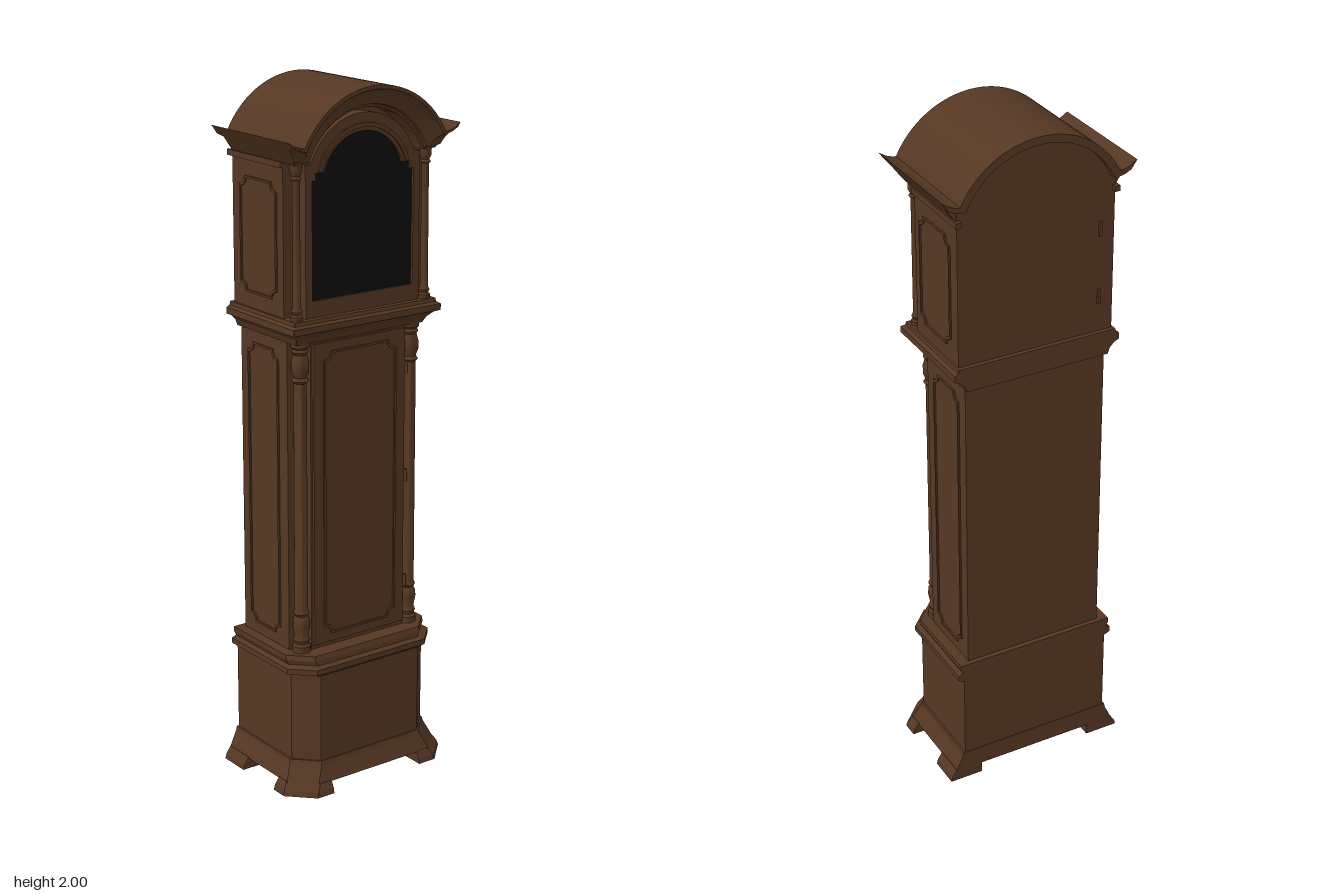
import * as THREE from 'three';
import { toCreasedNormals } from 'three/addons/utils/BufferGeometryUtils.js';

const V2 = (x, y) => new THREE.Vector2(x, y);

export function createModel() {
  const root = new THREE.Group();
  const wood = new THREE.MeshStandardMaterial({ color: 0x553723, side: THREE.DoubleSide });
  wood.name = 'walnut wood';
  const glass = new THREE.MeshStandardMaterial({ color: 0x0d0d0d });
  glass.name = 'black glass';

  const add = (name, geo, x = 0, y = 0, z = 0, mat = wood) => {
    const m = new THREE.Mesh(geo, mat);
    m.name = name;
    m.position.set(x, y, z);
    root.add(m);
    return m;
  };
  // box given by its limits
  const block = (name, x0, x1, y0, y1, z0, z1) =>
    add(name, new THREE.BoxGeometry(x1 - x0, y1 - y0, z1 - z0), (x0 + x1) / 2, (y0 + y1) / 2, (z0 + z1) / 2);
  const extrude = (shape, depth) => new THREE.ExtrudeGeometry(shape, { depth, bevelEnabled: false, curveSegments: 24 });
  const fromTriangles = (pos) => {
    const g = new THREE.BufferGeometry();
    g.setAttribute('position', new THREE.Float32BufferAttribute(pos, 3));
    g.computeVertexNormals();
    return g;
  };

  // stacked rings of [x, z] points at rising heights, capped at both ends
  const stack = (rings) => {
    const pos = [];
    const tri = (...pts) => pts.forEach((p) => pos.push(...p));
    const r = rings.map(({ y, pts }) => pts.map(([x, z]) => [x, y, z]));
    const n = r[0].length;
    for (let k = 0; k < r.length - 1; k++) {
      for (let i = 0; i < n; i++) {
        const j = (i + 1) % n;
        tri(r[k][i], r[k + 1][i], r[k][j]);
        tri(r[k][j], r[k + 1][i], r[k + 1][j]);
      }
    }
    const top = r[r.length - 1];
    for (let i = 1; i < n - 1; i++) {
      tri(r[0][0], r[0][i], r[0][i + 1]);
      tri(top[0], top[i + 1], top[i]);
    }
    return fromTriangles(pos);
  };
  // case plan with cut front corners; levels are [y, halfWidth, front]
  const caseStack = (levels, back, c) => stack(levels.map(([y, w, f]) => ({
    y, pts: [[w, back], [w, f - c], [w - c, f], [c - w, f], [-w, f - c], [-w, back]],
  })));

  // thin moulding frame with notched round corners
  const notched = (w, h, n, Type) => {
    const s = new Type(), a = w / 2, b = h / 2;
    s.moveTo(-a + n, -b);
    s.lineTo(a - n, -b);
    s.absarc(a, -b, n, Math.PI, Math.PI / 2, true);
    s.lineTo(a, b - n);
    s.absarc(a, b, n, Math.PI * 1.5, Math.PI, true);
    s.lineTo(-a + n, b);
    s.absarc(-a, b, n, 0, -Math.PI / 2, true);
    s.lineTo(-a, -b + n);
    s.absarc(-a, -b, n, Math.PI / 2, 0, true);
    return s;
  };
  const panelFrame = (w, h) => {
    const s = notched(w, h, 0.024, THREE.Shape);
    s.holes.push(notched(w - 0.012, h - 0.012, 0.024, THREE.Path));
    return extrude(s, 0.005);
  };
  const turned = (pts) => toCreasedNormals(
    new THREE.LatheGeometry(pts.map(([r, y]) => V2(r, y)), 20), 0.7);

  // base with cut corners, flared skirt and mouldings
  add('base', caseStack([[0.09, 0.234, 0.152], [0.36, 0.234, 0.152]], -0.178, 0.06));
  add('skirt', caseStack([[0.033, 0.264, 0.177], [0.05, 0.257, 0.17], [0.08, 0.243, 0.16],
    [0.093, 0.24, 0.157]], -0.18, 0.065));
  add('baseMoulding', caseStack([[0.355, 0.236, 0.153], [0.362, 0.252, 0.16], [0.378, 0.252, 0.16],
    [0.384, 0.238, 0.146], [0.398, 0.245, 0.145], [0.412, 0.245, 0.14]], -0.18, 0.06));

  // bracket feet
  for (const s of [1, -1]) {
    const mirror = (pts) => (s > 0 ? pts : pts.map(([x, z]) => [-x, z]).reverse());
    const front = (w, f) => mirror([[w, 0.07], [w, f - 0.07], [w - 0.07, f], [0.155, f], [0.155, 0.07]]);
    const rear = (w) => mirror([[w, -0.18], [w, -0.085], [0.18, -0.085], [0.18, -0.18]]);
    add('frontFoot', stack([{ y: 0, pts: front(0.282, 0.19) }, { y: 0.015, pts: front(0.278, 0.187) },
      { y: 0.036, pts: front(0.264, 0.177) }]));
    add('rearFoot', stack([{ y: 0, pts: rear(0.282) }, { y: 0.015, pts: rear(0.278) },
      { y: 0.036, pts: rear(0.264) }]));
  }

  // waist with door, panels and corner columns
  block('waist', -0.214, 0.214, 0.4, 1.325, -0.165, 0.055);
  block('waistFront', -0.163, 0.163, 0.4, 1.325, 0.05, 0.092);
  block('waistDoor', -0.157, 0.157, 0.425, 1.305, 0.09, 0.1);
  add('doorPanelFrame', panelFrame(0.25, 0.83), 0, 0.865, 0.099);
  const waistColumn = [[0, 0.41], [0.026, 0.41], [0.026, 0.43], [0.02, 0.437], [0.024, 0.448], [0.019, 0.46],
    [0.025, 0.49], [0.023, 0.51], [0.018, 0.52], [0.023, 0.528], [0.019, 0.538], [0.018, 1.2], [0.024, 1.207],
    [0.018, 1.216], [0.025, 1.235], [0.025, 1.258], [0.019, 1.28], [0.024, 1.288], [0.02, 1.296],
    [0.026, 1.302], [0.026, 1.325]];
  for (const s of [1, -1]) {
    add('waistColumn', turned(waistColumn), s * 0.189, 0, 0.08);
    add('waistSidePanelFrame', panelFrame(0.145, 0.835), s * 0.2135, 0.862, -0.057).rotation.y = s * Math.PI / 2;
  }
  for (const y of [0.55, 0.87, 1.19]) {
    add('doorHinge', new THREE.CylinderGeometry(0.005, 0.005, 0.035, 10), 0.163, y, 0.1);
  }
  add('waistCornice', caseStack([[1.312, 0.217, 0.102], [1.33, 0.224, 0.112], [1.344, 0.238, 0.126],
    [1.35, 0.252, 0.14], [1.368, 0.252, 0.14], [1.374, 0.242, 0.132], [1.384, 0.24, 0.13]], -0.18, 0.001));

  // outer and inner outlines of the arched cornice
  const outline = (tips, r, start) => {
    const right = [];
    for (let i = 0; i <= 20; i++) {
      const a = Math.PI / 2 + (start - Math.PI / 2) * i / 20;
      right.push([r * Math.cos(a), 1.737 + r * Math.sin(a)]);
    }
    right.push(...tips);
    return [...right.slice(1).reverse().map(([x, y]) => [-x, y]), ...right];
  };
  const outer = outline([[0.247, 1.857], [0.264, 1.863], [0.285, 1.876]], 0.263, 0.466);
  const inner = outline([[0.205, 1.805], [0.222, 1.805], [0.235, 1.805]], 0.2, 0.347);
  const between = (t) => outer.map(([x, y], i) => [x + (inner[i][0] - x) * t, y + (inner[i][1] - y) * t]);

  // cornice: sections [blend to inner outline, z] from the front underside over the roof to the back
  const sections = [[1, 0.06], [1, 0.125], [0.88, 0.128], [0.85, 0.138], [0.6, 0.142], [0.35, 0.152], [0.2, 0.165],
    [0.17, 0.172], [0, 0.172], [0, -0.19], [0.35, -0.19], [0.35, -0.164], [1, -0.164]];
  const rows = sections.map(([t, z]) => between(t).map(([x, y]) => [x, y, z]));
  const pos = [];
  const tri = (...pts) => pts.forEach((p) => pos.push(...p));
  const last = outer.length - 1;
  for (let k = 0; k < rows.length - 1; k++) {
    for (let i = 0; i < last; i++) {
      tri(rows[k][i], rows[k][i + 1], rows[k + 1][i]);
      tri(rows[k][i + 1], rows[k + 1][i + 1], rows[k + 1][i]);
    }
    if (k > 0) {
      tri(rows[0][0], rows[k][0], rows[k + 1][0]);
      tri(rows[0][last], rows[k + 1][last], rows[k][last]);
    }
  }
  add('archedCornice', toCreasedNormals(fromTriangles(pos), 0.5));

  // hood case and arched back board
  const arched = (pts, bottom, limit) => new THREE.Shape([V2(-limit, bottom), V2(limit, bottom),
    ...[...pts].reverse().map(([x, y]) => V2(Math.max(-limit, Math.min(limit, x)), y))]);
  add('hoodCase', extrude(arched(inner, 1.38, 0.234), 0.23), 0, 0, -0.16);
  add('hoodBack', extrude(arched(between(0.35), 1.38, 0.234), 0.01), 0, 0, -0.167);

  // hood door with an arched opening
  const archDoor = (w, bottom, shoulder, ear, r, Type) => {
    const s = new Type(), cy = 1.737, a = Math.asin((shoulder - cy) / r);
    s.moveTo(-w, bottom);
    s.lineTo(w, bottom);
    s.lineTo(w, shoulder - ear);
    if (ear > 0) {
      s.lineTo(w - 0.012, shoulder - ear);
      s.lineTo(w - 0.012, shoulder);
    } else s.lineTo(w, shoulder);
    s.absarc(0, cy, r, a, Math.PI - a, false);
    if (ear > 0) {
      s.lineTo(-w + 0.012, shoulder);
      s.lineTo(-w + 0.012, shoulder - ear);
    } else s.lineTo(-w, shoulder);
    s.lineTo(-w, shoulder - ear);
    s.closePath();
    return s;
  };
  const door = archDoor(0.192, 1.384, 1.8, 0, 0.185, THREE.Shape);
  door.holes.push(archDoor(0.17, 1.43, 1.775, 0.02, 0.136, THREE.Path));
  add('hoodDoor', extrude(door, 0.045), 0, 0, 0.068);
  add('dialGlass', extrude(archDoor(0.172, 1.428, 1.777, 0.02, 0.138, THREE.Shape), 0.006), 0, 0, 0.1, glass);
  const trim = new THREE.Shape();
  trim.absarc(0, 1.737, 0.158, 0.28, Math.PI - 0.28, false);
  trim.absarc(0, 1.737, 0.146, Math.PI - 0.28, 0.28, true);
  add('doorArchTrim', extrude(trim, 0.006), 0, 0, 0.112);

  // hood columns, side panels and side mouldings
  const hoodColumn = [[0, 1.38], [0.017, 1.38], [0.017, 1.395], [0.012, 1.4], [0.016, 1.408], [0.011, 1.418],
    [0.01, 1.76], [0.015, 1.766], [0.011, 1.773], [0.017, 1.785], [0.017, 1.81]];
  for (const s of [1, -1]) {
    add('hoodColumn', turned(hoodColumn), s * 0.217, 0, 0.106);
    add('hoodSidePanelFrame', panelFrame(0.172, 0.32), s * 0.2335, 1.587, -0.044).rotation.y = s * Math.PI / 2;
    add('hoodSideMoulding', new THREE.BoxGeometry(0.016, 0.016, 0.25), s * 0.234, 1.8, -0.055);
  }
  for (const y of [1.49, 1.69]) {
    add('backHinge', new THREE.BoxGeometry(0.008, 0.042, 0.008), -0.19, y, -0.17);
  }
  return root;
}
